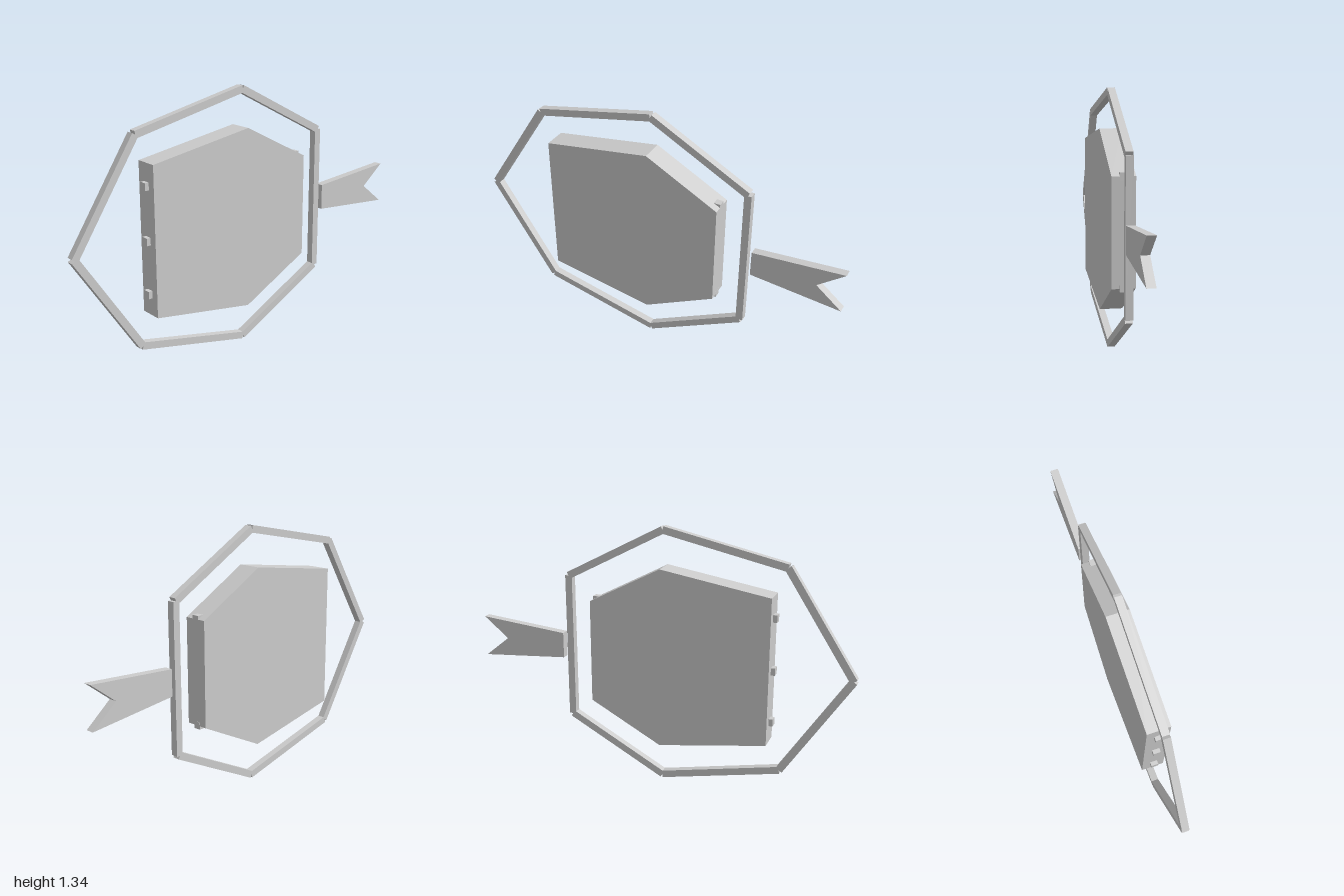
import * as THREE from 'three';

const grey = new THREE.MeshStandardMaterial({ color: 0xcccccc });
grey.name = 'plain grey';
const MID = 0.67; // height of the horizontal symmetry line
const BAR = 0.037; // thickness of bars and studs

function add(group, name, geometry) {
  const mesh = new THREE.Mesh(geometry, grey);
  mesh.name = name;
  group.add(mesh);
  return mesh;
}

// Side outline as [z, y] points, extruded across x and centred
function slab(points, width) {
  const shape = new THREE.Shape(points.map(([z, y]) => new THREE.Vector2(z, y)));
  const geometry = new THREE.ExtrudeGeometry(shape, { depth: width, bevelEnabled: false });
  return geometry.translate(0, 0, -width / 2).rotateY(-Math.PI / 2);
}

export function createModel() {
  const model = new THREE.Group();
  model.name = 'framedPlate';

  // Thick six-sided body
  add(model, 'body', slab([
    [0.583, 1.046], [0.022, 1.136], [-0.355, 0.938],
    [-0.355, 0.402], [0.022, 0.204], [0.583, 0.294],
  ], 0.117));

  // Studs on the front face and the back corners
  const studs = [[0.585, MID], [0.585, MID + 0.267], [0.585, MID - 0.267],
    [-0.337, MID + 0.267], [-0.337, MID - 0.267]];
  for (const [z, y] of studs) {
    add(model, 'stud', new THREE.BoxGeometry(BAR, BAR, BAR)).position.set(0, y, z);
  }

  // Seven-sided frame of straight bars
  const ring = [[0.982, MID], [0.645, 1.187], [0.022, 1.321], [-0.491, 1.05],
    [-0.491, 0.29], [0.022, 0.019], [0.645, 0.153]];
  ring.forEach(([z, y], i) => {
    const [z2, y2] = ring[(i + 1) % ring.length];
    const length = Math.hypot(z2 - z, y2 - y);
    const bar = add(model, 'frameBar', new THREE.BoxGeometry(BAR, BAR, length));
    bar.position.set(0, (y + y2) / 2, (z + z2) / 2);
    bar.rotation.x = Math.atan2(y - y2, z2 - z);
  });

  // Notched tail
  add(model, 'tail', slab([
    [-0.532, 0.737], [-0.532, 0.603], [-1, 0.562], [-0.866, MID], [-1, 0.778],
  ], 0.042));

  return model;
}
